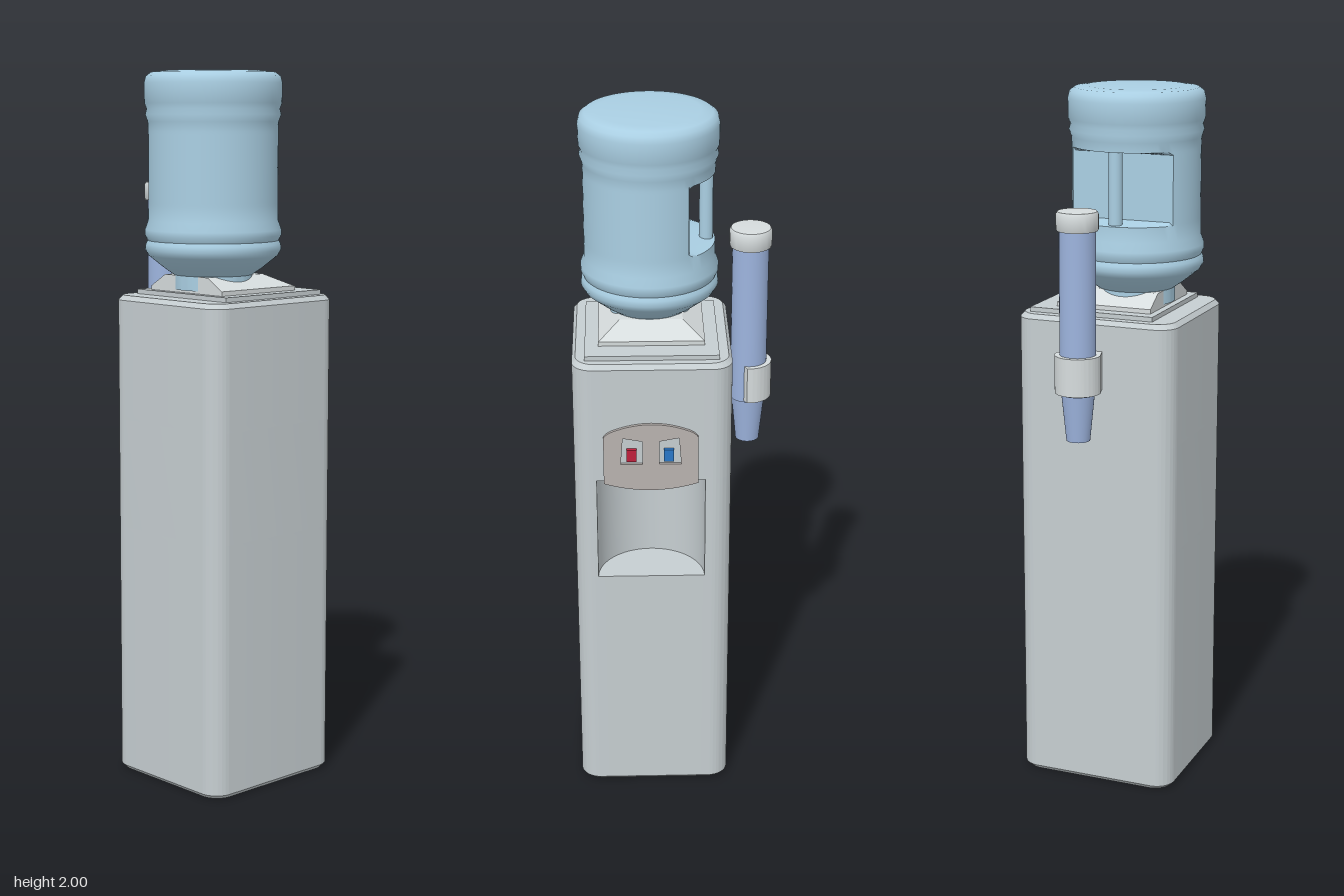
import * as THREE from 'three';
import { toCreasedNormals } from 'three/addons/utils/BufferGeometryUtils.js';

const mat = (color) => new THREE.MeshStandardMaterial({ color });
const casing = mat(0xc6ced1), pale = mat(0xd6dcdd), panelGrey = mat(0xb9b3b0);
const bottleBlue = mat(0xaacfe3), tubeBlue = mat(0x9db4de);

function add(parent, name, geometry, material, x = 0, y = 0, z = 0) {
  const mesh = new THREE.Mesh(geometry, material);
  mesh.name = name;
  mesh.position.set(x, y, z);
  parent.add(mesh);
  return mesh;
}

// Applies rule(v) to every vertex
function reshape(geometry, rule) {
  const p = geometry.attributes.position, v = new THREE.Vector3();
  for (let i = 0; i < p.count; i++) {
    v.fromBufferAttribute(p, i);
    rule(v);
    p.setXYZ(i, v.x, v.y, v.z);
  }
  return geometry;
}

// Extrudes a floor-plan shape (x, -z) upwards from y0 to y1
function rise(shape, y0, y1, steps = 1) {
  const g = new THREE.ExtrudeGeometry(shape, { depth: y1 - y0, steps, bevelEnabled: false, curveSegments: 24 });
  return g.rotateX(-Math.PI / 2).translate(0, y0, 0);
}

const X0 = -0.24, X1 = 0.228, Z0 = -0.163, Z1 = 0.272, R = 0.055;
const ALCOVE = { z: 0.06, r: 0.15, y0: 0.72, y1: 1.03 };

function casingPlan(notched) {
  const s = new THREE.Shape(), q = Math.PI / 2;
  s.absarc(X0 + R, -Z1 + R, R, 2 * q, 3 * q);
  s.absarc(X1 - R, -Z1 + R, R, 3 * q, 4 * q);
  if (notched) s.absarc(X1, -ALCOVE.z, ALCOVE.r, -q, q, true);
  s.absarc(X1 - R, -Z0 - R, R, 0, q);
  s.absarc(X0 + R, -Z0 - R, R, q, 2 * q);
  s.closePath();
  return s;
}

function makeCabinet() {
  const cabinet = new THREE.Group();
  cabinet.name = 'cabinet';
  const cx = (X0 + X1) / 2, cz = (Z0 + Z1) / 2;
  // Pull in the outermost rows for softened top and bottom edges
  const soften = (v) => {
    if (v.y > 0.001 && v.y < 1.379) return;
    v.x = cx + (v.x - cx) * 0.955;
    v.z = cz + (v.z - cz) * 0.955;
  };
  const sections = [
    ['lowerCabinet', false, 0, ALCOVE.y0, 60],
    ['alcoveCabinet', true, ALCOVE.y0, ALCOVE.y1, 1],
    ['upperCabinet', false, ALCOVE.y1, 1.38, 26],
  ];
  for (const [name, notched, y0, y1, steps] of sections) {
    const g = reshape(rise(casingPlan(notched), y0, y1, steps), soften);
    add(cabinet, name, toCreasedNormals(g, 0.6), casing);
  }
  // Top plate and sloped bottle seat
  add(cabinet, 'topPlate', new THREE.BoxGeometry(0.365, 0.02, 0.364), casing, 0.0125, 1.383, 0.055);
  add(cabinet, 'seatBase', new THREE.BoxGeometry(0.28, 0.015, 0.29), pale, -0.01, 1.398, 0.055);
  const seat = reshape(new THREE.BoxGeometry(0.28, 0.035, 0.29), (v) => {
    if (v.y < 0) return;
    v.z *= 0.6;
    if (v.x > 0) v.x = 0.07;
  }).toNonIndexed();
  seat.computeVertexNormals();
  add(cabinet, 'bottleSeat', seat, pale, -0.01, 1.422, 0.055);
  return cabinet;
}

function makeControls() {
  const controls = new THREE.Group();
  controls.name = 'controls';
  // Panel is drawn in (-z, y) and turned to face +x
  const s = new THREE.Shape();
  s.moveTo(-0.13, 1.025);
  s.quadraticCurveTo(0, 0.983, 0.13, 1.025);
  s.lineTo(0.13, 1.165);
  s.quadraticCurveTo(0.125, 1.178, 0.105, 1.186);
  s.quadraticCurveTo(0, 1.228, -0.105, 1.186);
  s.quadraticCurveTo(-0.125, 1.178, -0.13, 1.165);
  s.closePath();
  for (const side of [-1, 1]) {
    const hole = new THREE.Path(), c = side * 0.053;
    hole.moveTo(c - side * 0.03, 1.085);
    hole.lineTo(c - side * 0.03, 1.155);
    hole.lineTo(c + side * 0.024, 1.165);
    hole.lineTo(c + side * 0.03, 1.085);
    hole.closePath();
    s.holes.push(hole);
    // Tap button inside each window
    add(controls, side < 0 ? 'hotButton' : 'coldButton', new THREE.BoxGeometry(0.016, 0.035, 0.027),
      mat(side < 0 ? 0xc0203c : 0x2a78c8), 0.233, 1.113, 0.062 - side * 0.051);
  }
  const g = new THREE.ExtrudeGeometry(s, { depth: 0.013, bevelEnabled: false, curveSegments: 16 });
  g.rotateY(Math.PI / 2);
  add(controls, 'controlPanel', toCreasedNormals(g, 0.6), panelGrey, 0.224, 0, 0.06);
  return controls;
}

function makeBottle() {
  const bottle = new THREE.Group();
  bottle.name = 'bottle';
  bottle.position.set(-0.05, 0, 0.057);
  const profile = [
    [0.11, 1.40], [0.11, 1.44], [0.135, 1.457], [0.18, 1.493], [0.19, 1.51], [0.188, 1.525], [0.183, 1.535],
    [0.19, 1.55], [0.19, 1.565], [0.181, 1.59], [0.18, 1.633], [0.18, 1.642], [0.18, 1.825], [0.18, 1.834],
    [0.181, 1.86], [0.188, 1.88], [0.184, 1.895], [0.19, 1.91], [0.191, 1.965], [0.186, 1.984],
    [0.172, 1.994], [0.14, 1.998], [0, 2.0],
  ].map(([r, y]) => new THREE.Vector2(r, y));
  // Flat recess cut into the back for the grip
  const g = reshape(new THREE.LatheGeometry(profile, 72), (v) => {
    if (v.y > 1.64 && v.y < 1.83) v.z = Math.max(v.z, -0.105);
  });
  add(bottle, 'bottleBody', toCreasedNormals(g, 0.7), bottleBlue);
  add(bottle, 'bottleGrip', new THREE.CylinderGeometry(0.019, 0.019, 0.2, 16), bottleBlue, 0, 1.735, -0.155);
  return bottle;
}

function makeCupDispenser() {
  const cups = new THREE.Group();
  cups.name = 'cupDispenser';
  cups.position.set(0.012, 0, -0.217);
  add(cups, 'cupTube', new THREE.CylinderGeometry(0.05, 0.05, 0.36, 32), tubeBlue, 0, 1.465, 0);
  const cap = [[0.056, 1.635], [0.058, 1.64], [0.058, 1.68], [0.054, 1.687], [0, 1.69]];
  const capGeometry = new THREE.LatheGeometry([[0, 1.635], ...cap].map(([r, y]) => new THREE.Vector2(r, y)), 32);
  add(cups, 'tubeCap', toCreasedNormals(capGeometry, 0.6), pale);
  // Holder wraps the tube and tapers onto the cabinet back
  const s = new THREE.Shape();
  s.moveTo(0.047, -0.06);
  s.absarc(0, 0, 0.064, -0.1, Math.PI + 0.1);
  s.lineTo(-0.047, -0.06);
  s.closePath();
  const bore = new THREE.Path();
  bore.absarc(0, 0, 0.049, 0, Math.PI * 2);
  s.holes.push(bore);
  add(cups, 'tubeHolder', toCreasedNormals(rise(s, 1.187, 1.293), 0.6), pale);
  // Lowest cup, ready to pull
  add(cups, 'cup', new THREE.CylinderGeometry(0.048, 0.033, 0.15, 32), tubeBlue, 0, 1.125, 0);
  add(cups, 'cupRim', new THREE.CylinderGeometry(0.05, 0.05, 0.11, 32), tubeBlue, 0, 1.237, 0);
  return cups;
}

export function createModel() {
  const model = new THREE.Group();
  model.name = 'waterCooler';
  model.add(makeCabinet(), makeControls(), makeBottle(), makeCupDispenser());
  return model;
}
